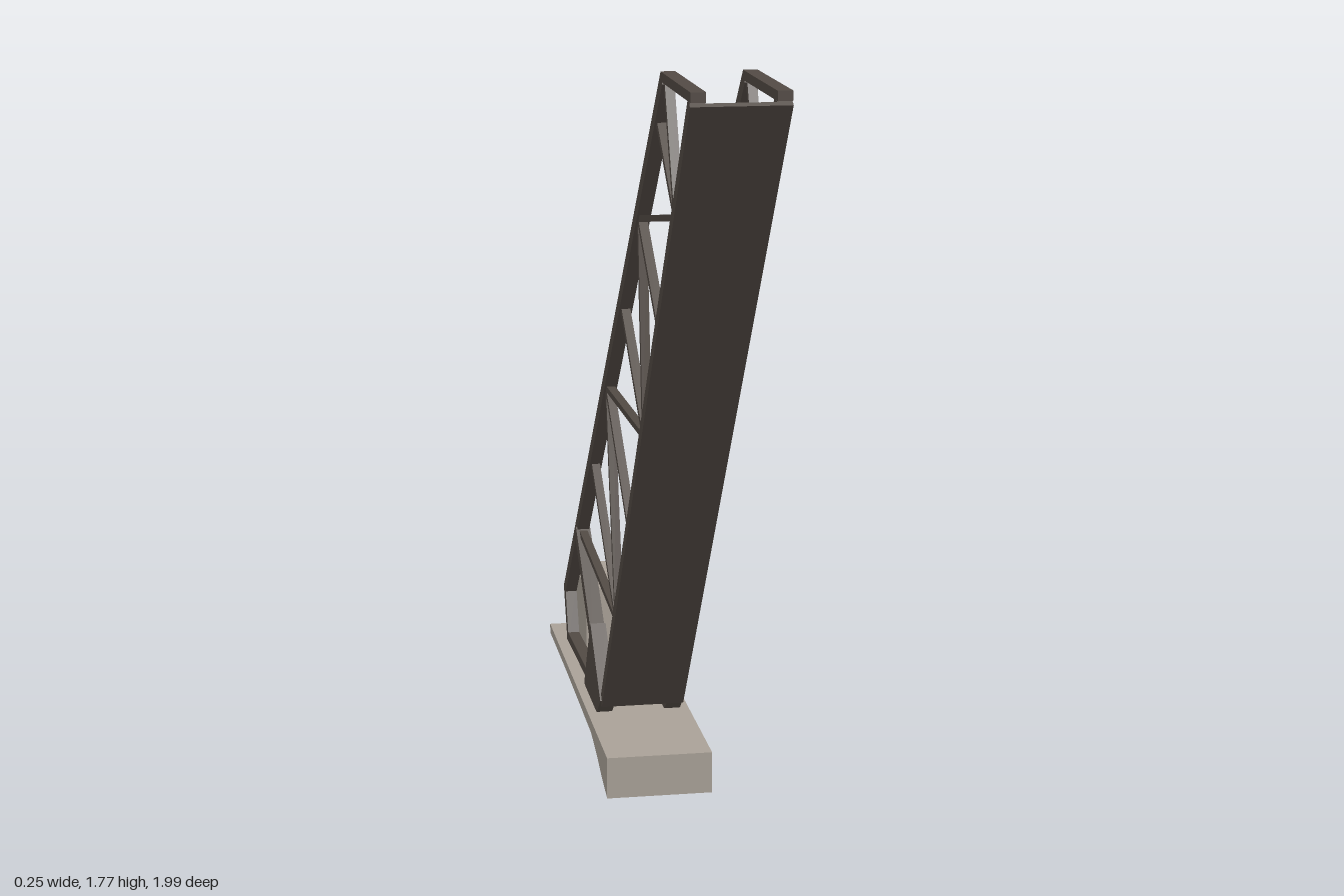
import * as THREE from 'three';

export function createModel() {
  const steel = new THREE.MeshStandardMaterial({ color: 0x524a44 });
  steel.name = 'dark steel';
  const concrete = new THREE.MeshStandardMaterial({ color: 0xa9a197 });
  concrete.name = 'concrete';

  const model = new THREE.Group();
  model.name = 'raisedBridge';

  const add = (parent, geometry, material, name) => {
    const mesh = new THREE.Mesh(geometry, material);
    mesh.name = name;
    parent.add(mesh);
    return mesh;
  };

  // Straight bar between two [z, y] points, w wide in x and t thick
  const bar = (parent, name, a, b, x, w, t) => {
    const dz = b[0] - a[0], dy = b[1] - a[1];
    const mesh = add(parent, new THREE.BoxGeometry(w, t, Math.hypot(dz, dy)), steel, name);
    mesh.position.set(x, (a[1] + b[1]) / 2, (a[0] + b[0]) / 2);
    mesh.rotation.x = -Math.atan2(dy, dz);
    return mesh;
  };

  // Truss nodes as [z, y]: deck chord, upper chord and their half-panel points
  const tip = [0.977, 1.757], heel = [-0.223, 0.147];
  const d1 = [0.777, 1.5], d2 = [0.38, 0.957], d3 = [-0.03, 0.415];
  const dm1 = [0.58, 1.23], dm2 = [0.166, 0.69];
  const top = [0.655, 1.762], tail = [-0.89, 0.232], foot = [-0.838, 0.117];
  const u1 = [0.316, 1.422], u2 = [-0.166, 0.94], u3 = [-0.65, 0.457];
  const um1 = [0.563, 1.663], um2 = [0.075, 1.18], um3 = [-0.41, 0.695];
  const braces = [
    [top, d1], [d1, um1], [d1, u1], [dm1, u1], [u1, d2], [d2, um2],
    [d2, u2], [dm2, u2], [u2, d3], [d3, um3], [d3, u3]
  ];

  // Pivot gusset with a rounded lower edge, outlined in (z, y)
  const plate = new THREE.Shape();
  plate.moveTo(-0.215, 0.15);
  plate.lineTo(-0.38, 0.295);
  plate.lineTo(-0.44, 0.2);
  plate.lineTo(-0.495, 0.105);
  plate.quadraticCurveTo(-0.38, 0.04, -0.27, 0.105);
  plate.closePath();

  for (const s of [-1, 1]) {
    const side = new THREE.Group();
    side.name = s > 0 ? 'leftTruss' : 'rightTruss';
    const x = s * 0.084;
    bar(side, 'deckChord', tip, heel, x, 0.03, 0.03);
    bar(side, 'upperChord', top, tail, x, 0.03, 0.03);
    bar(side, 'endStrut', [0.99, 1.765], [0.645, 1.765], x, 0.03, 0.02);
    bar(side, 'tailStrut', [-0.896, 0.245], [-0.834, 0.108], x, 0.03, 0.03);
    bar(side, 'footStrut', foot, [-0.45, 0.132], x, 0.03, 0.024);
    bar(side, 'heavyBrace', [-0.37, 0.245], u3, x, 0.036, 0.034);
    for (const [a, b] of braces) bar(side, 'brace', a, b, x, 0.02, 0.014);
    const gusset = new THREE.ExtrudeGeometry(plate, { depth: 0.038, bevelEnabled: false, curveSegments: 8 });
    gusset.rotateY(-Math.PI / 2); // shape x becomes z, depth runs to -x
    add(side, gusset, steel, 'gusset').position.x = x + 0.019;
    model.add(side);
  }

  // Road deck along the outer face of the deck chords
  const deck = bar(model, 'deck', tip, heel, 0, 0.2, 0.01);
  deck.position.z += 0.803 * 0.012;
  deck.position.y -= 0.595 * 0.012;

  // Counterweight block
  add(model, new THREE.BoxGeometry(0.14, 0.215, 0.24), concrete, 'counterweight')
    .position.set(0, 0.1825, -0.81);

  // Foundation: sections of [z, outer bottom y, inner bottom y, inner half width]
  const sections = [
    [0.045, 0, 0, 0.115], [-0.05, 0.022, 0.018, 0.11], [-0.12, 0.045, 0.032, 0.1],
    [-0.22, 0.068, 0.05, 0.095], [-0.52, 0.074, 0.06, 0.095],
    [-0.7, 0.076, 0.078, 0.095], [-1, 0.076, 0.078, 0.095]
  ];
  const rings = sections.map(([z, yo, yi, h]) => [
    [-0.125, 0.1, z], [0.125, 0.1, z], [0.125, yo, z], [h, yi, z], [-h, yi, z], [-0.125, yo, z]
  ]);
  const pos = [];
  const tri = (a, b, c) => pos.push(...a, ...b, ...c);
  for (let i = 0; i < rings.length - 1; i++) {
    for (let j = 0; j < 6; j++) {
      const k = (j + 1) % 6, p = rings[i], q = rings[i + 1];
      tri(p[j], p[k], q[k]);
      tri(p[j], q[k], q[j]);
    }
  }
  const front = rings[0], back = rings[rings.length - 1];
  for (let k = 1; k < 5; k++) {
    tri(front[0], front[k + 1], front[k]);
    tri(back[0], back[k], back[k + 1]);
  }
  const base = new THREE.BufferGeometry();
  base.setAttribute('position', new THREE.Float32BufferAttribute(pos, 3));
  base.computeVertexNormals();
  add(model, base, concrete, 'foundation');

  return model;
}
